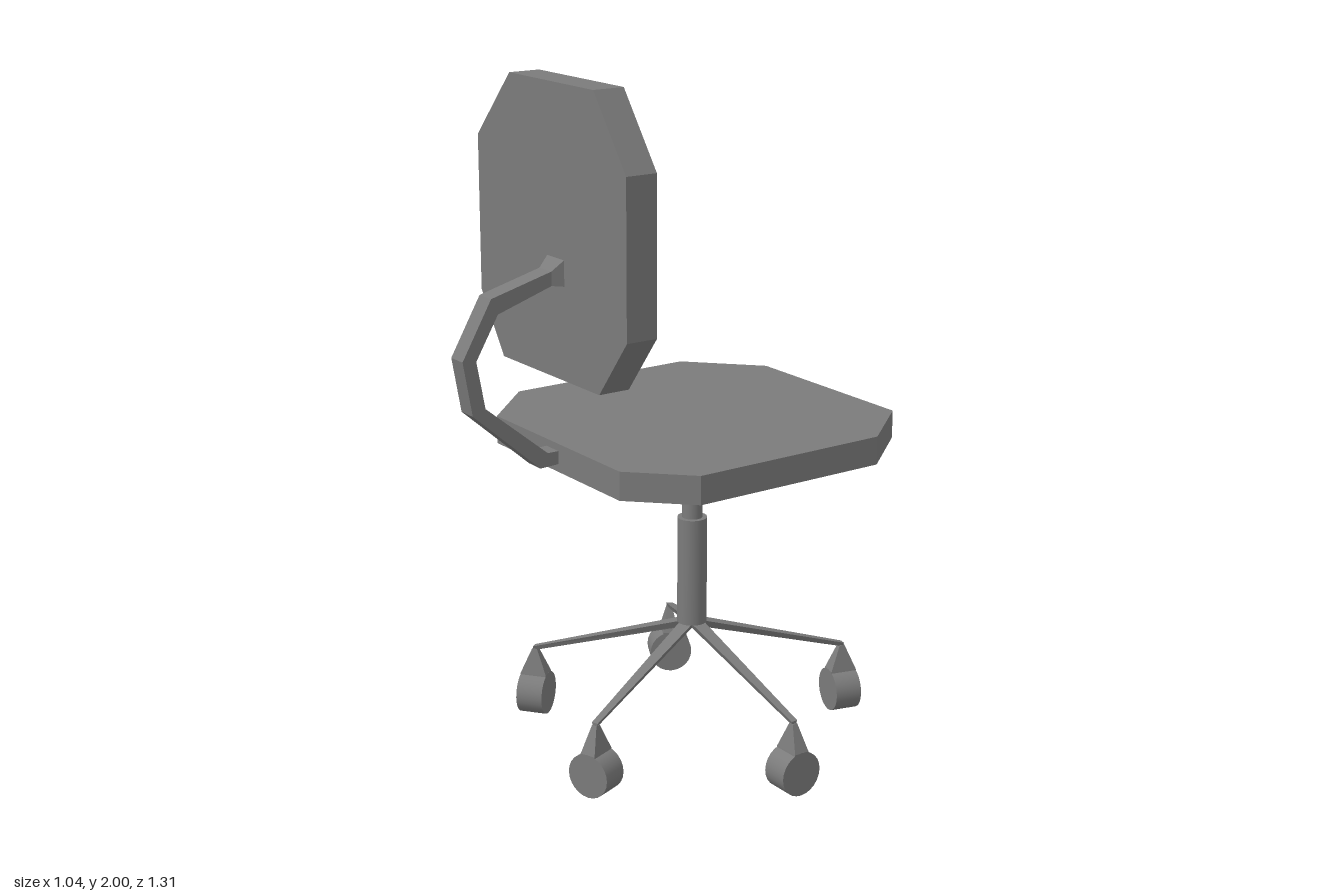
import * as THREE from 'three';

const flat = new THREE.MeshStandardMaterial({ color: 0x7b7b7b, flatShading: true });
const smooth = new THREE.MeshStandardMaterial({ color: 0x7b7b7b });

function part(name, geometry, material = flat) {
  const mesh = new THREE.Mesh(geometry, material);
  mesh.name = name;
  return mesh;
}

// Skin four-cornered cross-sections into a closed solid
// (corners run counter-clockwise seen from the far end).
function loft(rings) {
  const pos = [];
  const quad = (a, b, c, d) => pos.push(...a, ...b, ...c, ...a, ...c, ...d);
  for (let r = 0; r < rings.length - 1; r++) {
    const a = rings[r], b = rings[r + 1];
    for (let i = 0; i < 4; i++) {
      const j = (i + 1) % 4;
      quad(a[i], a[j], b[j], b[i]);
    }
  }
  const s = rings[0], e = rings[rings.length - 1];
  quad(s[3], s[2], s[1], s[0]);
  quad(e[0], e[1], e[2], e[3]);
  const g = new THREE.BufferGeometry();
  g.setAttribute('position', new THREE.Float32BufferAttribute(pos, 3));
  g.computeVertexNormals();
  return g;
}

// Flat slab cut from an outline
function slab(points, depth) {
  const shape = new THREE.Shape(points.map(([x, y]) => new THREE.Vector2(x, y)));
  return new THREE.ExtrudeGeometry(shape, { depth, bevelEnabled: false });
}

const AXIS_X = -0.012, AXIS_Z = -0.12;

// One spoke with its caster, pointing along local +x
function createLeg(length) {
  const leg = new THREE.Group();
  leg.name = 'leg';
  // Spoke section is narrower underneath than on top
  const across = (x, y, h, w) => [[x, y - h, -w / 2], [x, y + h, -w], [x, y + h, w], [x, y - h, w / 2]];
  leg.add(part('spoke', loft([
    across(0, 0.36, 0.012, 0.022),
    across(length + 0.005, 0.211, 0.007, 0.01),
  ])));

  // Pyramid fork, broad along the wheel's axle
  const level = (y, x, z) => [[length - x, y, -z], [length - x, y, z], [length + x, y, z], [length + x, y, -z]];
  leg.add(part('casterFork', loft([level(0.12, 0.041, 0.026), level(0.132, 0.041, 0.024), level(0.21, 0.008, 0.008)])));

  const wheel = part('casterWheel', new THREE.CylinderGeometry(0.066, 0.066, 0.082, 24), smooth);
  wheel.rotation.z = Math.PI / 2;
  wheel.position.set(length, 0.067, 0);
  leg.add(wheel);
  return leg;
}

export function createModel() {
  const chair = new THREE.Group();
  chair.name = 'officeChair';

  // Seat: irregular octagon lying flat
  const seat = slab([
    [-0.295, -0.608], [0.305, -0.608], [0.474, -0.405], [0.474, 0.205],
    [0.32, 0.361], [-0.31, 0.361], [-0.492, 0.175], [-0.492, -0.42],
  ], 0.082);
  seat.rotateX(Math.PI / 2).translate(0, 1.006, 0);
  chair.add(part('seat', seat));

  // Backrest: irregular octagon standing upright
  const back = slab([
    [-0.235, 2], [-0.412, 1.808], [-0.412, 1.36], [-0.295, 1.185],
    [0.197, 1.185], [0.33, 1.355], [0.33, 1.796], [0.18, 2],
  ], 0.096);
  back.translate(0, 0, 0.246);
  chair.add(part('backrest', back));

  // Bent support arm: outer z, outer y, inner z, inner y, half width
  const arm = [
    [0.34, 0.948, 0.34, 0.985, 0.03],
    [0.42, 0.945, 0.395, 0.985, 0.03],
    [0.63, 1.13, 0.59, 1.145, 0.03],
    [0.657, 1.285, 0.615, 1.28, 0.03],
    [0.565, 1.445, 0.545, 1.4, 0.03],
    [0.375, 1.495, 0.375, 1.455, 0.03],
    [0.335, 1.53, 0.335, 1.45, 0.045],
  ].map(([oz, oy, iz, iy, w]) => [
    [AXIS_X - w, oy, oz], [AXIS_X + w, oy, oz], [AXIS_X + w, iy, iz], [AXIS_X - w, iy, iz],
  ]);
  chair.add(part('supportArm', loft(arm)));

  // Telescoping column
  for (const [name, r, y0, y1] of [['lowerColumn', 0.044, 0.36, 0.688], ['upperColumn', 0.03, 0.68, 0.93]]) {
    const tube = part(name, new THREE.CylinderGeometry(r, r, y1 - y0, 24), smooth);
    tube.position.set(AXIS_X, (y0 + y1) / 2, AXIS_Z);
    chair.add(tube);
  }

  // Five-legged base, placed by caster position (x, z)
  for (const [x, z] of [[0.478, -0.12], [0.168, 0.344], [-0.405, 0.187], [-0.455, -0.352], [0.112, -0.598]]) {
    const dx = x - AXIS_X, dz = z - AXIS_Z;
    const leg = createLeg(Math.hypot(dx, dz));
    leg.position.set(AXIS_X, 0, AXIS_Z);
    leg.rotation.y = -Math.atan2(dz, dx);
    chair.add(leg);
  }
  return chair;
}
